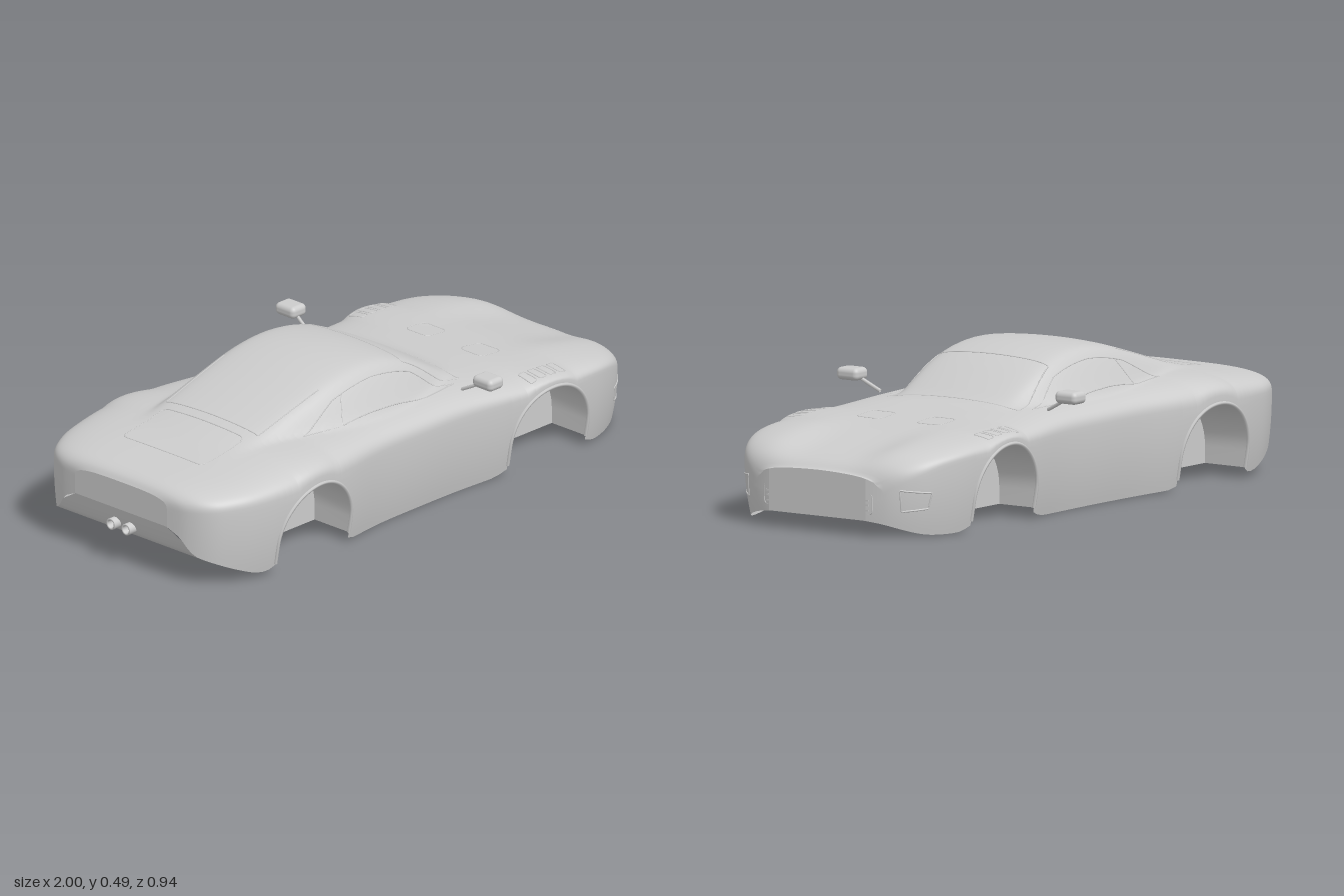
import * as THREE from 'three';
import { RoundedBoxGeometry } from 'three/addons/geometries/RoundedBoxGeometry.js';

const N = 3.4;                                   // squareness of the shoulders
const ARCH = { r: 0.1725, y: 0.095, xs: [-0.5375, 0.5475] };

// Smooth interpolation through [x, value] pairs
function curve(p) {
  const m = p.map((_, i) => {
    const a = p[Math.max(i - 1, 0)], b = p[Math.min(i + 1, p.length - 1)];
    return (b[1] - a[1]) / (b[0] - a[0]);
  });
  return x => {
    if (x <= p[0][0]) return p[0][1];
    if (x >= p[p.length - 1][0]) return p[p.length - 1][1];
    let i = 0;
    while (x > p[i + 1][0]) i++;
    const h = p[i + 1][0] - p[i][0], t = (x - p[i][0]) / h, t2 = t * t, t3 = t2 * t;
    return (2 * t3 - 3 * t2 + 1) * p[i][1] + (t3 - 2 * t2 + t) * h * m[i]
      + (3 * t2 - 2 * t3) * p[i + 1][1] + (t3 - t2) * h * m[i + 1];
  };
}

// Half width, deck height, widest level, lower edge and roofline along the car
const halfWidth = curve([[-0.988, 0.2], [-0.98, 0.26], [-0.95, 0.325], [-0.9, 0.37], [-0.8, 0.412], [-0.6, 0.44],
  [-0.4, 0.425], [-0.2, 0.396], [0, 0.39], [0.2, 0.39], [0.4, 0.41], [0.55, 0.426], [0.7, 0.42], [0.8, 0.403],
  [0.9, 0.36], [0.95, 0.315], [0.98, 0.265], [0.995, 0.215], [1, 0.19]]);
const deck = curve([[-0.988, 0.285], [-0.975, 0.302], [-0.95, 0.315], [-0.9, 0.324], [-0.8, 0.335], [-0.6, 0.355],
  [-0.4, 0.356], [-0.2, 0.35], [0, 0.345], [0.2, 0.34], [0.4, 0.322], [0.55, 0.311], [0.7, 0.302], [0.8, 0.29],
  [0.9, 0.27], [0.95, 0.249], [0.98, 0.225], [0.995, 0.198], [1, 0.18]]);
const waistBase = curve([[-0.988, 0.245], [-0.8, 0.25], [0.7, 0.24], [0.85, 0.22], [0.95, 0.17], [1, 0.12]]);
const hem = curve([[-0.988, 0.19], [-0.97, 0.125], [-0.95, 0.1], [-0.8, 0.032], [-0.74, 0.022], [-0.71, 0.035],
  [-0.36, 0.02], [-0.33, 0.01], [0, 0.006], [0.33, 0.008], [0.37, 0.025], [0.72, 0.025], [0.76, 0.01],
  [0.85, 0.008], [0.9, 0.014], [0.95, 0.03], [1, 0.055]]);
const roof = curve([[-1, 0.2], [-0.9, 0.285], [-0.75, 0.335], [-0.6, 0.378], [-0.4, 0.438], [-0.25, 0.477],
  [-0.12, 0.49], [0, 0.478], [0.1, 0.447], [0.2, 0.395], [0.3, 0.333], [0.36, 0.29], [0.5, 0.2]]);

function lowerEdge(x) {
  const c = ARCH.xs.find(c => Math.abs(x - c) < ARCH.r);
  return c === undefined ? hem(x) : ARCH.y + Math.sqrt(ARCH.r ** 2 - (x - c) ** 2);
}
const waist = x => Math.max(waistBase(x), lowerEdge(x) + 0.01);

// Height of the upper skin: rounded deck blended with the cabin
function topY(x, z) {
  const w = halfWidth(x), s = Math.min(Math.abs(z) / w, 1), wy = waist(x);
  const dip = 0.026 * Math.exp(-(((x - 0.86) / 0.2) ** 2) - (z / 0.19) ** 4);
  const body = wy + (deck(x) - wy) * Math.pow(Math.max(1 - s ** N, 0), 1 / N) - dip;
  const over = Math.abs(z) - 0.225;
  const cabin = roof(x) - 0.01 * (z / 0.22) ** 2 - 0.8 * (over + Math.sqrt(over * over + 0.0006)) + 0.002;
  const d = body - cabin, k = s < 0.97 ? 0.01 : 0;
  return 0.5 * (body + cabin + Math.sqrt(d * d + k * k));
}

// Outer z of the flank at a given height
function sideZ(x, y) {
  const w = halfWidth(x), wy = waist(x);
  if (y <= wy) return w - 0.03 * ((wy - y) / wy) ** 2;
  return w * Math.pow(Math.max(1 - Math.min((y - wy) / (deck(x) - wy), 1) ** N, 0), 1 / N);
}

// Indexed surface from a rule for rows and columns
function grid(rows, cols, point) {
  const pos = [], idx = [];
  for (let i = 0; i < rows; i++) for (let j = 0; j < cols; j++) {
    pos.push(...point(i, j));
    if (i && j) {
      const d = i * cols + j, c = d - 1, b = d - cols, a = b - 1;
      idx.push(a, c, b, b, c, d);
    }
  }
  const g = new THREE.BufferGeometry();
  g.setAttribute('position', new THREE.Float32BufferAttribute(pos, 3));
  g.setIndex(idx);
  g.computeVertexNormals();
  return g;
}

// Split the edges of a polyline into short steps
function dense(pts, closed, step = 0.012) {
  const out = [];
  const n = closed ? pts.length : pts.length - 1;
  for (let i = 0; i < n; i++) {
    const a = pts[i], b = pts[(i + 1) % pts.length];
    const k = Math.max(2, Math.ceil(Math.hypot(b[0] - a[0], b[1] - a[1]) / step));
    for (let j = 0; j < k; j++) out.push([a[0] + (b[0] - a[0]) * j / k, a[1] + (b[1] - a[1]) * j / k]);
  }
  if (!closed) out.push(pts[n]);
  return out;
}

function roundedRect(a0, a1, b0, b1, r) {
  const c = [[a1 - r, b1 - r], [a0 + r, b1 - r], [a0 + r, b0 + r], [a1 - r, b0 + r]], out = [];
  c.forEach(([a, b], q) => {
    for (let i = 0; i <= 3; i++) {
      const t = (q + i / 3) * Math.PI / 2;
      out.push([a + r * Math.cos(t), b + r * Math.sin(t)]);
    }
  });
  return out;
}

export function createModel() {
  const car = new THREE.Group();
  car.name = 'carBody';
  const paint = new THREE.MeshStandardMaterial({ color: 0xcccccc, side: THREE.DoubleSide });
  paint.name = 'lightGrey';
  const add = (name, geo) => {
    const m = new THREE.Mesh(geo, paint);
    m.name = name;
    car.add(m);
    return m;
  };
  const tube = (name, pts, closed, r = 0.002) => {
    const path = new THREE.CatmullRomCurve3(pts.map(p => new THREE.Vector3(...p)), closed, 'centripetal');
    return add(name, new THREE.TubeGeometry(path, pts.length * 2, r, 6, closed));
  };
  const topLine = (name, pts, closed) =>
    tube(name, dense(pts, closed).map(([x, z]) => [x, topY(x, z), z]), closed);

  // Stations along the car, closer together at the ends and wheel arches
  const xs = [];
  for (let i = 0; i <= 90; i++) xs.push(0.006 - 0.994 * Math.cos(Math.PI * i / 90));
  for (const c of ARCH.xs) {
    for (let i = 0; i <= 28; i++) xs.push(c - ARCH.r * 0.99999 * Math.cos(Math.PI * i / 28));
    xs.push(c - ARCH.r - 0.0005, c + ARCH.r + 0.0005);
  }
  xs.sort((a, b) => a - b);

  // Main shell, with a flat face closing each end
  const half = [];
  for (let i = 0; i <= 40; i++) half.push({ s: 0.88 * i / 40 });
  const start = Math.asin(0.88 ** (N / 2));
  for (let i = 1; i <= 12; i++) half.push({ s: Math.sin(start + (Math.PI / 2 - start) * i / 12) ** (2 / N) });
  for (let i = 1; i <= 10; i++) half.push({ t: i / 10 });
  const M = half.length - 1;
  const skin = (x, j) => {
    const side = j < M ? -1 : 1, h = half[Math.abs(j - M)];
    if (h.t === undefined) {
      const z = h.s * halfWidth(x);
      return [x, topY(x, z), side * z];
    }
    const y = THREE.MathUtils.lerp(waist(x), lowerEdge(x), h.t);
    return [x, y, side * sideZ(x, y)];
  };
  add('bodyShell', grid(xs.length, 2 * M + 1, (i, j) => skin(xs[i], j)));
  for (const [name, x] of [['tailFace', xs[0]], ['noseFace', xs[xs.length - 1]]]) {
    add(name, grid(2, 2 * M + 1, (i, j) => {
      const p = skin(x, j);
      return i === (x > 0 ? 1 : 0) ? [x, lowerEdge(x), p[2]] : p;
    }));
  }

  // Sloping rear valance and twin exhausts
  add('rearValance', grid(8, 2, (i, j) => {
    const x = -0.988 + 0.068 * i / 7, y = hem(x);
    return [x, y, (j ? 1 : -1) * sideZ(x, y)];
  }));
  for (const z of [-0.033, 0.033]) {
    const ring = [[0.013, -0.03], [0.013, 0.035], [0.019, 0.035], [0.019, -0.035]].map(p => new THREE.Vector2(...p));
    const pipe = add('exhaustPipe', new THREE.LatheGeometry(ring, 20));
    pipe.rotation.z = Math.PI / 2;
    pipe.position.set(-0.965, 0.135, z);
  }

  // Wheel housings and arch lips
  for (const c of ARCH.xs) {
    const arc = [[c + ARCH.r, 0.04]];
    for (let i = 0; i <= 24; i++) {
      const t = Math.PI * i / 24;
      arc.push([c + ARCH.r * Math.cos(t), ARCH.y + ARCH.r * Math.sin(t)]);
    }
    arc.push([c - ARCH.r, 0.04]);
    const disc = new THREE.ShapeGeometry(new THREE.Shape(arc.map(p => new THREE.Vector2(...p))));
    for (const s of [-1, 1]) {
      add('wheelHousing', grid(arc.length, 2, (i, j) =>
        [arc[i][0], arc[i][1], s * (j ? sideZ(...arc[i]) - 0.002 : 0.25)]));
      add('wheelHousingWall', disc).position.z = s * 0.25;
      tube('archLip', arc.map(([x, y]) => [x, y, s * sideZ(x, y)]), false, 0.006);
    }
  }

  // Glass edges, engine cover and vents
  topLine('windscreenEdge', [[0.285, -0.26], [0.07, -0.215], [0.07, 0.215], [0.285, 0.26]], true);
  topLine('rearGlassSeam', [[-0.3, -0.205], [-0.57, -0.2], [-0.57, 0.2], [-0.3, 0.205]], false);
  topLine('engineCoverEdge', roundedRect(-0.8, -0.605, -0.175, 0.175, 0.02), true);
  for (const s of [-1, 1]) {
    topLine('sideWindowEdge', [[0.24, 0.28], [0.08, 0.242], [-0.1, 0.24], [-0.28, 0.245], [-0.44, 0.27],
      [-0.3, 0.292], [-0.1, 0.298], [0.1, 0.297]].map(([x, z]) => [x, s * z]), true);
    topLine('windowDivider', [[-0.24, s * 0.245], [-0.28, s * 0.292]], false);
    topLine('hoodVent', roundedRect(0.485, 0.577, s * 0.118 - 0.049, s * 0.118 + 0.049, 0.02), true);
    for (let i = 0; i < 4; i++) {
      const x = 0.485 + 0.043 * i;
      topLine('fenderSlot', roundedRect(x - 0.015, x + 0.015, s * 0.368 - 0.03, s * 0.368 + 0.03, 0.008), true);
    }
    // Front corner lamp opening
    tube('lampEdge', dense([[0.885, 0.145], [0.963, 0.155], [0.958, 0.088], [0.892, 0.096]], true)
      .map(([x, y]) => [x, y, s * sideZ(x, y)]), true, 0.003);
    // Door mirror
    add('doorMirror', new RoundedBoxGeometry(0.068, 0.04, 0.084, 4, 0.016)).position.set(0.24, 0.38, s * 0.43);
    tube('mirrorArm', [[0.225, 0.33, s * 0.33], [0.23, 0.35, s * 0.37], [0.237, 0.37, s * 0.405]], false, 0.006);
  }

  // Front grille frame and bars
  tube('grilleFrame', dense(roundedRect(-0.212, 0.212, 0.075, 0.143, 0.014), true)
    .map(([z, y]) => [Math.abs(z) > 0.18 ? 0.997 - (Math.abs(z) - 0.18) * 0.1 : 0.997, y, z]), true, 0.003);
  for (const y of [0.088, 0.105, 0.12]) {
    add('grilleBar', new THREE.BoxGeometry(0.006, 0.005, 0.4)).position.set(0.997, y, 0);
  }
  return car;
}
